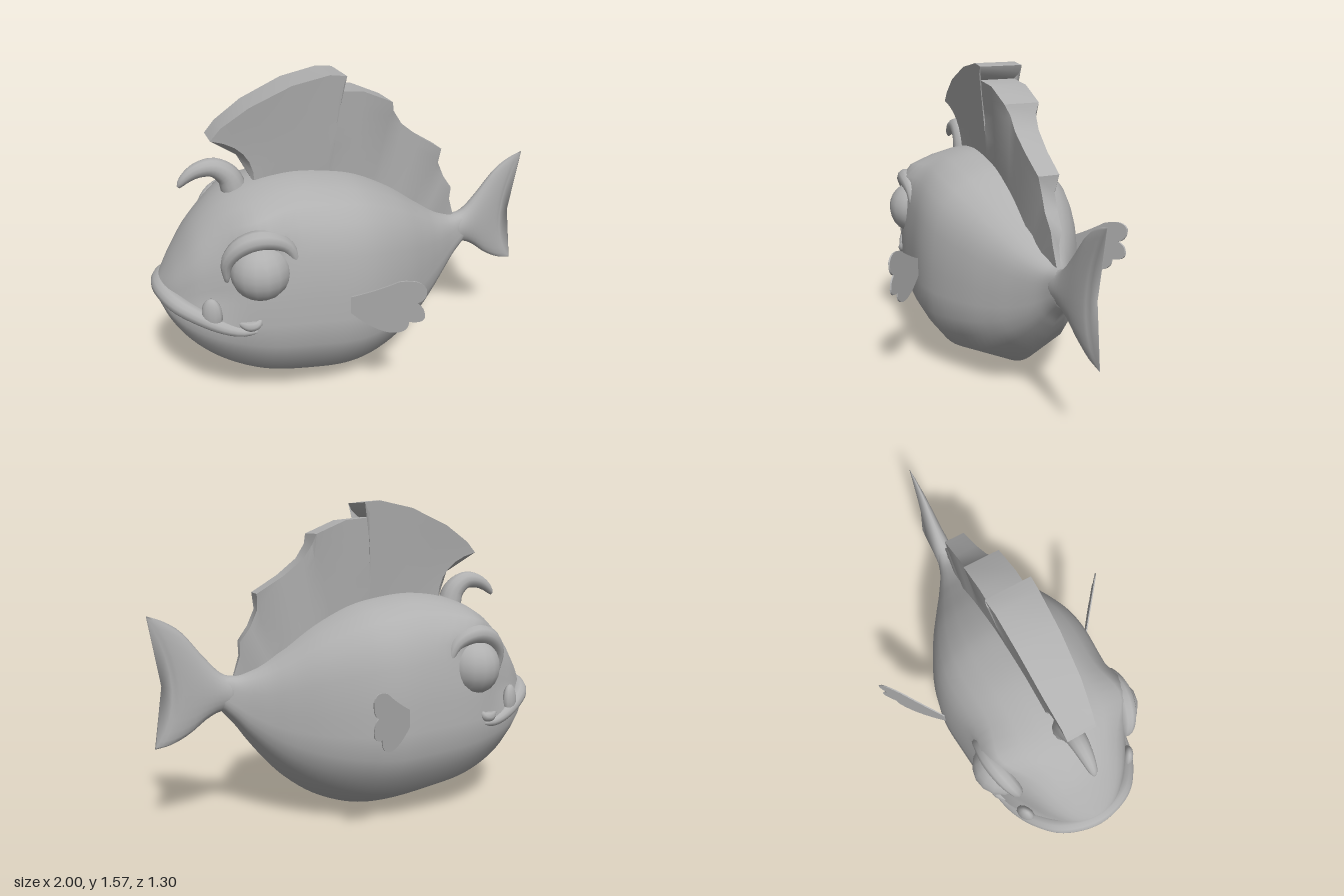
import * as THREE from 'three';
import { toCreasedNormals } from 'three/addons/utils/BufferGeometryUtils.js';

const skin = new THREE.MeshStandardMaterial({ color: 0xb0b0b0 });
skin.name = 'grey skin';
skin.side = THREE.DoubleSide;

const V = (x, y, z = 0) => new THREE.Vector3(x, y, z);
const spline = (pts) => new THREE.CatmullRomCurve3(pts.map((p) => V(...p)), false, 'centripetal');

function mesh(name, geometry) {
  const m = new THREE.Mesh(geometry, skin);
  m.name = name;
  return m;
}

// Skin closed rings of points, cap both ends, and turn the faces outward
function loft(rings) {
  const n = rings[0].length, pos = [], idx = [];
  rings.forEach((r) => r.forEach((p) => pos.push(p.x, p.y, p.z)));
  for (let j = 0; j < rings.length - 1; j++)
    for (let i = 0; i < n; i++) {
      const a = j * n + i, b = j * n + ((i + 1) % n);
      idx.push(a, b, b + n, a, b + n, a + n);
    }
  [[0, 1], [rings.length - 1, 0]].forEach(([j, flip]) => {
    const c = pos.length / 3, m = rings[j].reduce((s, p) => s.add(p), V(0, 0)).divideScalar(n);
    pos.push(m.x, m.y, m.z);
    for (let i = 0; i < n; i++) {
      const a = j * n + i, b = j * n + ((i + 1) % n);
      flip ? idx.push(c, b, a) : idx.push(c, a, b);
    }
  });
  const at = (i) => V(pos[3 * i], pos[3 * i + 1], pos[3 * i + 2]);
  let volume = 0;
  for (let i = 0; i < idx.length; i += 3) volume += at(idx[i]).dot(at(idx[i + 1]).cross(at(idx[i + 2])));
  if (volume < 0) idx.reverse();
  const g = new THREE.BufferGeometry();
  g.setAttribute('position', new THREE.Float32BufferAttribute(pos, 3));
  g.setIndex(idx);
  g.computeVertexNormals();
  return g;
}

// Tube whose radius follows a function of its length
function taperedTube(points, radius, steps = 20, sides = 10, flat = 1) {
  const c = spline(points), rings = [];
  const f = c.computeFrenetFrames(steps);
  for (let j = 0; j <= steps; j++) {
    const p = c.getPointAt(j / steps), r = radius(j / steps);
    rings.push(Array.from({ length: sides }, (_, i) => {
      const a = (i / sides) * Math.PI * 2;
      const q = V(0, 0).addScaledVector(f.normals[j], Math.cos(a) * r).addScaledVector(f.binormals[j], Math.sin(a) * r);
      q.z *= flat;
      return q.add(p);
    }));
  }
  return loft(rings);
}

// Body stations: x, top, bottom, half width
const stations = [
  [-0.975, 0.62, 0.53, 0.04], [-0.94, 0.68, 0.44, 0.14], [-0.88, 0.78, 0.335, 0.22], [-0.78, 0.92, 0.22, 0.305],
  [-0.65, 1.03, 0.12, 0.36], [-0.5, 1.09, 0.05, 0.395], [-0.3, 1.115, 0.01, 0.415], [-0.12, 1.095, 0, 0.425],
  [0.02, 1.06, 0.02, 0.4], [0.2, 0.97, 0.09, 0.32], [0.35, 0.865, 0.195, 0.225], [0.45, 0.795, 0.295, 0.155],
  [0.55, 0.745, 0.42, 0.09], [0.6, 0.735, 0.49, 0.066], [0.67, 0.74, 0.57, 0.045],
];
const topAndBottom = spline(stations.map(([x, t, b]) => [x, t, b]));
const widths = spline(stations.map(([x, , , w]) => [x, w, 0]));
const topAt = (x) => {
  const k = Math.max(1, stations.findIndex((s) => s[0] >= x));
  const [a, b] = [stations[k - 1], stations[k]];
  return a[1] + ((b[1] - a[1]) * (x - a[0])) / (b[0] - a[0]);
};

function bodyGeometry() {
  // Half section: share of half width, share of height
  const half = [[0, 0], [0.68, 0.125], [0.86, 0.22], [1, 0.32], [1, 0.43], [1, 0.54], [0.98, 0.63], [0.95, 0.72],
    [0.9, 0.79], [0.82, 0.86], [0.68, 0.92], [0.48, 0.965], [0.24, 0.99], [0, 1]];
  const section = [...half, ...half.slice(1, -1).reverse().map(([u, v]) => [-u, v])];
  const rings = [], steps = 56;
  for (let j = 0; j <= steps; j++) {
    const p = topAndBottom.getPoint(j / steps), w = widths.getPoint(j / steps).y;
    rings.push(section.map(([u, v]) => {
      const y = p.z + (p.y - p.z) * v;
      let z = u * w;
      // Face set back above the jaw
      const front = THREE.MathUtils.smoothstep(-p.x, 0.55, 0.8);
      z *= 1 - 0.13 * front * THREE.MathUtils.smoothstep(y, 0.5, 0.62);
      // Brow swelling over each eye
      const brow = Math.exp(-(((p.x + 0.53) / 0.12) ** 2) - ((y - 0.97) / 0.075) ** 2);
      z += Math.sign(u) * 0.07 * brow * Math.min(1, Math.abs(u) * 1.5);
      return V(p.x, y, z);
    }));
  }
  return loft(rings);
}

function tailGeometry() {
  const upper = spline([[0.6, 0.73], [0.66, 0.75], [0.75, 0.845], [0.85, 0.965], [0.93, 1.015], [1, 1.04]]);
  const lower = spline([[0.6, 0.55], [0.66, 0.565], [0.73, 0.535], [0.82, 0.465], [0.91, 0.42], [0.985, 0.405]]);
  const middle = spline([[0.6, 0.65], [0.66, 0.655], [0.73, 0.66], [0.8, 0.67], [0.85, 0.68], [0.895, 0.69]]);
  const rings = [];
  for (let j = 0; j <= 14; j++) {
    const t = j / 14, U = upper.getPoint(t), L = lower.getPoint(t), M = middle.getPoint(t);
    const thick = 0.055 * (1 - t) ** 0.6 + 0.006;
    rings.push(Array.from({ length: 24 }, (_, i) => {
      const a = (i / 24) * Math.PI * 2, s = Math.cos(a);
      const p = V(0, 0).addScaledVector(U, (s * (s + 1)) / 2).addScaledVector(L, (s * (s - 1)) / 2).addScaledVector(M, 1 - s * s);
      p.z = Math.sin(a) * thick;
      return p;
    }));
  }
  return loft(rings);
}

function dorsalGeometry() {
  // Rim x, rim y, rim half thickness, x of the root on the back
  const ribs = [
    [-0.68, 1.31, 0.07, -0.48], [-0.63, 1.365, 0.075, -0.45], [-0.5, 1.45, 0.09, -0.4], [-0.3, 1.535, 0.1, -0.3],
    [-0.12, 1.57, 0.105, -0.2], [-0.04, 1.56, 0.11, -0.13], [-0.055, 1.525, 0.11, -0.11], [-0.09, 1.49, 0.09, -0.08],
    [0.05, 1.475, 0.09, 0], [0.2, 1.41, 0.088, 0.12], [0.215, 1.36, 0.065, 0.15], [0.26, 1.29, 0.06, 0.2],
    [0.36, 1.21, 0.055, 0.26], [0.49, 1.13, 0.052, 0.34], [0.485, 1.05, 0.032, 0.39], [0.52, 0.97, 0.032, 0.43],
    [0.57, 0.9, 0.028, 0.48], [0.57, 0.83, 0.016, 0.52], [0.6, 0.735, 0.01, 0.57],
  ];
  const rows = 6;
  const rings = ribs.map(([x, y, h, bx], k) => {
    const by = topAt(bx) - 0.02, bend = Math.max(0, 1 - k / 4);
    const ctrl = V((x + bx) / 2 + 0.1 * bend, (y + by) / 2 + 0.07 * bend);
    const c = new THREE.QuadraticBezierCurve3(V(bx, by), ctrl, V(x, y));
    const side = (sign) => Array.from({ length: rows + 1 }, (_, i) => {
      const p = c.getPoint(i / rows);
      p.z = sign * THREE.MathUtils.lerp(Math.min(0.045, h), h, i / rows);
      return p;
    });
    return [...side(1), ...side(-1).reverse()];
  });
  return toCreasedNormals(loft(rings), 0.7);
}

function pectoralGeometry() {
  const s = new THREE.Shape();
  s.moveTo(-0.14, 0.51);
  s.quadraticCurveTo(-0.06, 0.44, 0.01, 0.44);
  s.quadraticCurveTo(0.08, 0.45, 0.08, 0.515);
  s.quadraticCurveTo(0.15, 0.52, 0.135, 0.58);
  s.quadraticCurveTo(0.13, 0.61, 0.105, 0.62);
  s.quadraticCurveTo(0.145, 0.64, 0.14, 0.7);
  s.quadraticCurveTo(0.12, 0.75, 0.04, 0.715);
  s.quadraticCurveTo(-0.04, 0.65, -0.14, 0.595);
  const g = new THREE.ExtrudeGeometry(s, { depth: 0.008, bevelEnabled: false, curveSegments: 6 });
  // Sweep the fin outward from its root
  const p = g.attributes.position;
  for (let i = 0; i < p.count; i++) p.setZ(i, p.getZ(i) + 0.42 + (p.getX(i) + 0.14) * 0.8);
  g.computeVertexNormals();
  return g;
}

function sideParts(name) {
  const g = new THREE.Group();
  g.name = name;
  const eye = mesh('eye', new THREE.SphereGeometry(0.145, 16, 12));
  eye.position.set(-0.535, 0.755, 0.305);
  // Lid wrapped over the top and front of the eye
  const lid = mesh('eyelid', taperedTube(
    [[-0.69, 0.72, 0.3], [-0.685, 0.82, 0.31], [-0.62, 0.9, 0.335], [-0.52, 0.925, 0.355], [-0.42, 0.88, 0.36], [-0.37, 0.78, 0.37]],
    (t) => 0.012 + 0.035 * Math.sin(Math.PI * t)));
  const tooth = mesh('tooth', new THREE.SphereGeometry(0.05, 12, 10));
  tooth.scale.set(1, 1.7, 0.6);
  tooth.position.set(-0.77, 0.56, 0.3);
  tooth.rotation.y = -0.5;
  const corner = mesh('mouthCorner', taperedTube(
    [[-0.66, 0.52, 0.345], [-0.61, 0.505, 0.365], [-0.575, 0.515, 0.375], [-0.56, 0.54, 0.372]],
    (t) => 0.008 + 0.02 * Math.sin(Math.PI * t), 10, 8));
  g.add(eye, lid, tooth, corner, mesh('pectoralFin', pectoralGeometry()));
  return g;
}

export function createModel() {
  const fish = new THREE.Group();
  fish.name = 'fish';
  fish.add(mesh('body', bodyGeometry()), mesh('tailFin', tailGeometry()), mesh('dorsalFin', dorsalGeometry()));

  // Jutting lower lip running round the jaw
  const jaw = [[-0.58, 0.475, 0.37], [-0.65, 0.475, 0.35], [-0.73, 0.5, 0.32], [-0.82, 0.54, 0.265], [-0.91, 0.58, 0.17]];
  const lip = [...jaw, [-0.955, 0.602, 0], ...jaw.slice().reverse().map(([x, y, z]) => [x, y, -z])];
  fish.add(mesh('lowerLip', taperedTube(lip, (t) => 0.012 + 0.034 * Math.sin(Math.PI * t) ** 0.6, 40, 12)));

  // Curled forelock on the brow
  fish.add(mesh('forelock', taperedTube(
    [[-0.57, 1.04, 0], [-0.595, 1.11, 0], [-0.66, 1.16, 0], [-0.74, 1.155, 0], [-0.8, 1.12, 0], [-0.83, 1.085, 0]],
    (t) => 0.008 + 0.055 * (1 - t) ** 0.6, 18, 12, 1)));

  const left = sideParts('nearSide'), right = sideParts('farSide');
  right.scale.z = -1;
  fish.add(left, right);
  return fish;
}
